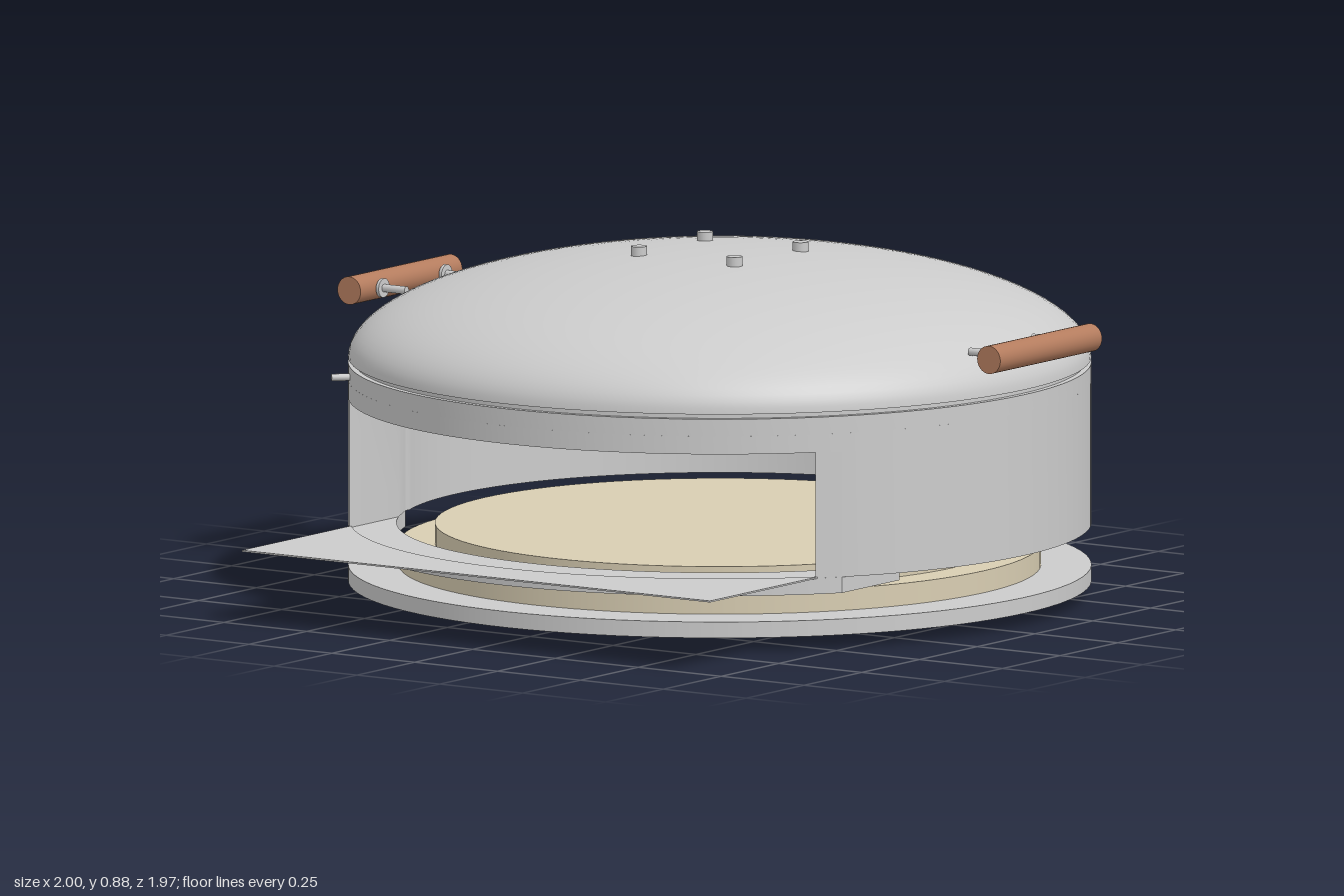
import * as THREE from 'three';
import { toCreasedNormals } from 'three/addons/utils/BufferGeometryUtils.js';

const mat = (color) => new THREE.MeshStandardMaterial({ color, side: THREE.DoubleSide });

export function createModel() {
  const model = new THREE.Group();
  const oven = new THREE.Group();
  oven.name = 'oven';
  oven.position.z = -0.07;
  model.add(oven);

  const steel = mat(0xcccccc), stone = mat(0xd8cdb2), wood = mat(0xb47c5e), rubber = mat(0x3a3c40);
  const R = 0.92, INNER = 0.8, OPEN = 0.703, FRAME = 0.745;

  const add = (name, geo, material, x = 0, y = 0, z = 0) => {
    const mesh = new THREE.Mesh(geo, material);
    mesh.name = name;
    mesh.position.set(x, y, z);
    oven.add(mesh);
    return mesh;
  };
  const disc = (name, r, y0, y1, material, x = 0, z = 0, seg = 24) =>
    add(name, new THREE.CylinderGeometry(r, r, y1 - y0, seg), material, x, (y0 + y1) / 2, z);

  // Extrude a plan outline (shape y = -z) upwards from y0 to y1
  const slab = (name, shape, y0, y1, material) => {
    const geo = new THREE.ExtrudeGeometry(shape, { depth: y1 - y0, bevelEnabled: false, curveSegments: 80 });
    geo.rotateX(-Math.PI / 2);
    return add(name, toCreasedNormals(geo, 0.5), material, 0, y0, 0);
  };
  // Full ring
  const ring = (name, rIn, rOut, y0, y1, material) => {
    const s = new THREE.Shape().absarc(0, 0, rOut, 0, Math.PI * 2);
    s.holes.push(new THREE.Path().absarc(0, 0, rIn, 0, Math.PI * 2, true));
    return slab(name, s, y0, y1, material);
  };
  // Part of a ring cut by the planes x = +-cut: the front piece or the rest
  const band = (name, rIn, rOut, cut, front, y0, y1, material) => {
    const s = new THREE.Shape();
    const ends = (r) => {
      const h = Math.asin(cut / r), f = -Math.PI / 2;
      return front ? [f - h, f + h] : [f + h, f - h + Math.PI * 2];
    };
    const [a, b] = ends(rOut), [c, d] = ends(rIn);
    s.absarc(0, 0, rOut, a, b, false);
    s.absarc(0, 0, rIn, d, c, true);
    s.closePath();
    return slab(name, s, y0, y1, material);
  };

  // Base, feet and bolts
  disc('basePlate', R, 0.035, 0.075, steel, 0, 0, 96);
  for (let i = 0; i < 3; i++) {
    const a = (i * Math.PI * 2) / 3;
    disc('foot', 0.05, 0, 0.035, rubber, 0.67 * Math.sin(a), 0.67 * Math.cos(a));
  }
  for (const sx of [-1, 1]) for (const sz of [-1, 1]) {
    disc('baseBolt', 0.023, 0.003, 0.036, steel, sx * 0.373, sz * 0.38, 16);
    disc('lidBolt', 0.02, 0.83, 0.878, steel, sx * 0.144, sz * 0.143, 16);
  }

  // Cooking floor
  disc('lowerStone', 0.795, 0.075, 0.13, stone, 0, 0, 96);
  disc('upperStone', 0.705, 0.13, 0.18, stone, 0, 0, 96);

  // Double wall with insulation, open at the front
  band('outerWall', 0.912, R, FRAME, false, 0.18, 0.54, steel);
  band('insulation', 0.806, 0.912, FRAME, false, 0.182, 0.54, stone);
  band('innerWall', INNER - 0.006, 0.806, FRAME, false, 0.18, 0.54, steel);
  ring('topRim', INNER - 0.006, R, 0.54, 0.583, steel);
  ring('lidSeal', INNER, 0.905, 0.583, 0.6, steel);

  // Frame of the opening
  band('sill', INNER, R, FRAME, true, 0.14, 0.18, steel);
  band('lintel', INNER, R, FRAME, true, 0.495, 0.54, steel);
  const depth = (x, r) => -Math.sqrt(r * r - x * x);
  for (const s of [-1, 1]) {
    const corners = [[OPEN, R], [FRAME, R], [FRAME, INNER], [OPEN, INNER]];
    const post = new THREE.Shape(corners.map(([x, r]) => new THREE.Vector2(s * x, depth(x, r))));
    slab('framePost', post, 0.18, 0.495, steel);
  }

  // Thin landing shelf with a curved rear edge
  const shelf = new THREE.Shape();
  const h = Math.asin(0.706 / 0.915);
  shelf.moveTo(-0.706, -1.055);
  shelf.lineTo(0.706, -1.055);
  shelf.absarc(0, 0, 0.915, -Math.PI / 2 + h, -Math.PI / 2 - h, true);
  shelf.closePath();
  slab('shelf', shelf, 0.179, 0.183, steel);

  // Hollow domed lid
  const profile = [];
  const N = 28;
  for (let i = 0; i <= N; i++) {
    const t = (i / N) * Math.PI / 2;
    profile.push(new THREE.Vector2(0.9 * Math.sin(t), 0.595 + 0.25 * Math.cos(t)));
  }
  for (let i = N; i >= 0; i--) {
    const t = (i / N) * Math.PI / 2;
    profile.push(new THREE.Vector2(R * Math.sin(t), 0.595 + 0.267 * Math.cos(t)));
  }
  add('lid', toCreasedNormals(new THREE.LatheGeometry(profile, 96), 0.6), steel);

  // Side handles on short rods
  for (const s of [-1, 1]) {
    add('handle', new THREE.CylinderGeometry(0.035, 0.035, 0.44, 32), wood, s * 0.965, 0.702, 0).rotation.x = Math.PI / 2;
    for (const z of [-0.136, 0.136]) {
      add('handleRod', new THREE.CylinderGeometry(0.01, 0.01, 0.11, 12), steel, s * 0.905, 0.702, z).rotation.z = Math.PI / 2;
      add('handleWasher', new THREE.CylinderGeometry(0.024, 0.024, 0.008, 16), steel, s * 0.922, 0.702, z).rotation.z = Math.PI / 2;
    }
  }

  // Two radial pins on one side of the rim
  for (const s of [-1, 1]) {
    const dir = new THREE.Vector3(-0.765, 0, s * 0.644);
    const pin = add('rimPin', new THREE.CylinderGeometry(0.009, 0.009, 0.07, 12), steel, dir.x * 0.93, 0.557, dir.z * 0.93);
    pin.quaternion.setFromUnitVectors(new THREE.Vector3(0, 1, 0), dir.normalize());
  }

  return model;
}
